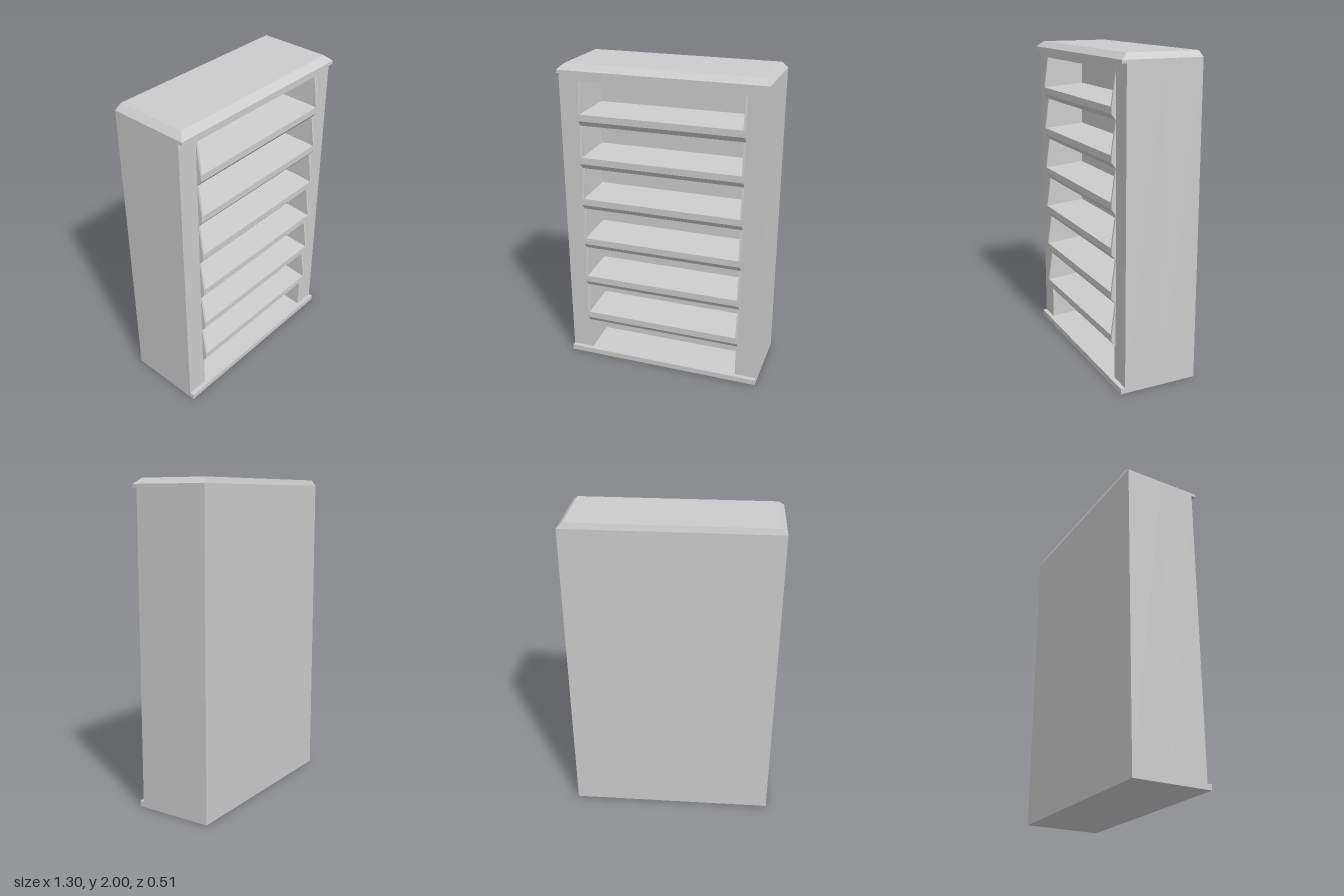
import * as THREE from 'three';

const W = 0.648, D = 0.253;            // half width and half depth
const FACE = 0.225, BACK = -0.01;      // front face and rear wall of the recesses
const OPEN = 0.507;                    // half width of the opening
const BAYS = 6, TOP = 1.9, STEP = 0.275;

export function createModel() {
  const group = new THREE.Group();
  const mat = new THREE.MeshStandardMaterial({ color: 0xcccccc, flatShading: true });
  const add = (name, geo) => {
    const m = new THREE.Mesh(geo, mat);
    m.name = name;
    group.add(m);
    return m;
  };
  const box = (name, x0, x1, y0, y1, z0, z1) => add(name,
    new THREE.BoxGeometry(x1 - x0, y1 - y0, z1 - z0)
      .translate((x0 + x1) / 2, (y0 + y1) / 2, (z0 + z1) / 2));
  // Prism with a (z, y) profile running along x
  const prismX = (name, pts, x0, x1) => {
    const shape = new THREE.Shape(pts.map(([z, y]) => new THREE.Vector2(-z, y)));
    const geo = new THREE.ExtrudeGeometry(shape, { depth: x1 - x0, bevelEnabled: false });
    return add(name, geo.rotateY(Math.PI / 2).translate(x0, 0, 0));
  };

  // Carcass
  box('rearBody', -W, W, 0, 1.945, -D, BACK);
  for (const s of [-1, 1]) {
    const [a, b] = s > 0 ? [OPEN, W] : [-W, -OPEN];
    box(s > 0 ? 'leftPillar' : 'rightPillar', a, b, 0, 1.945, BACK, FACE);
  }
  box('header', -OPEN, OPEN, TOP, 1.945, BACK, FACE);
  box('baseLip', -W, W, 0, 0.035, FACE, D);
  prismX('floor', [[FACE, 0], [FACE, 0.035], [BACK, 0.05], [BACK, 0]], -OPEN, OPEN);

  // Crown with chamfered top edges, built from rectangular rings
  const rings = [
    [1.945, W, -D, D], [1.965, W, -D, D], [2, 0.612, -0.243, 0.21],
  ].map(([y, x, z0, z1]) => [[-x, y, z1], [x, y, z1], [x, y, z0], [-x, y, z0]]);
  const pos = [];
  const quad = (a, b, c, d) => pos.push(...a, ...b, ...c, ...a, ...c, ...d);
  for (let r = 0; r < 2; r++) {
    for (let i = 0; i < 4; i++) {
      const j = (i + 1) % 4;
      quad(rings[r][i], rings[r][j], rings[r + 1][j], rings[r + 1][i]);
    }
  }
  quad(...rings[2]);
  quad(...[...rings[0]].reverse());
  const crown = new THREE.BufferGeometry();
  crown.setAttribute('position', new THREE.Float32BufferAttribute(pos, 3));
  crown.computeVertexNormals();
  add('crown', crown);

  // Shelves with bevelled lips, tapered recess walls and sawtooth cheeks
  const insets = [0.027, 0.021, 0.012, 0.006, 0.004, 0.003];
  prismX('topCeiling', [[FACE, TOP], [BACK, TOP], [BACK, TOP - 0.018]], -OPEN, OPEN);
  for (let i = 0; i < BAYS; i++) {
    const top = TOP - i * STEP, low = top - STEP;
    const lo = low + 0.035, hi = low + 0.077;
    prismX('shelf' + (i + 1),
      [[FACE, low], [D, lo], [D, hi], [BACK, hi + 0.022], [BACK, low - 0.02]], -OPEN, OPEN);
    for (const s of [-1, 1]) {
      const x0 = s > 0 ? OPEN : -OPEN - 0.013;
      prismX('cheek' + (i + 1), [[FACE - 0.01, low], [FACE, low], [D, lo], [D, hi], [FACE, top],
        [FACE - 0.01, top]], x0, x0 + 0.013);

      // Wedge narrowing the recess towards its rear wall
      const wedge = new THREE.Shape([
        new THREE.Vector2(s * OPEN, -FACE), new THREE.Vector2(s * OPEN, -BACK),
        new THREE.Vector2(s * (OPEN - insets[i]), -BACK),
      ]);
      add('recessWall' + (i + 1),
        new THREE.ExtrudeGeometry(wedge, { depth: top - low, bevelEnabled: false })
          .rotateX(-Math.PI / 2).translate(0, low, 0));
    }
  }
  return group;
}
